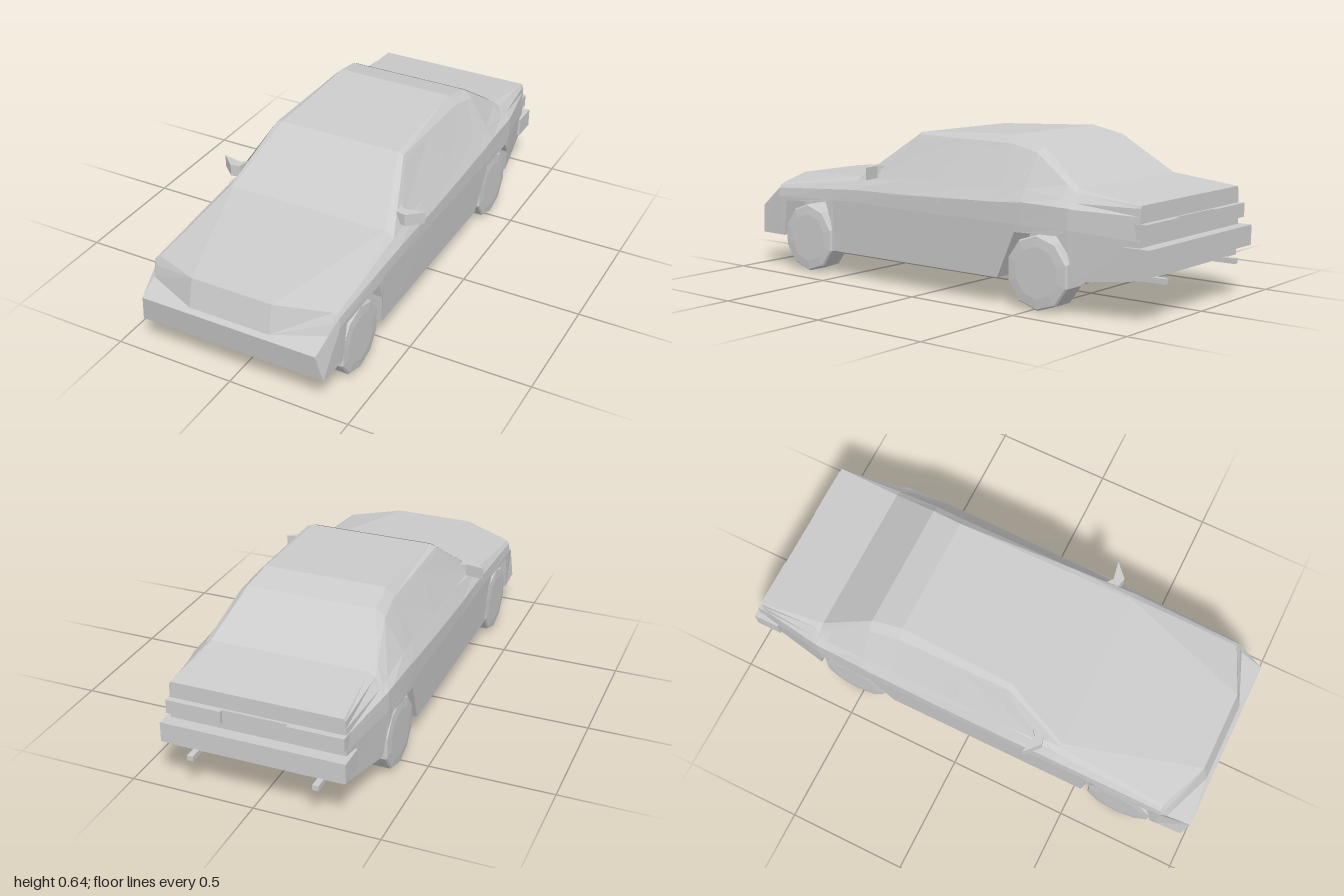
import * as THREE from 'three';

const grey = new THREE.MeshStandardMaterial({ color: 0xcccccc, flatShading: true });
const thin = new THREE.MeshStandardMaterial({ color: 0xcccccc, flatShading: true, side: THREE.DoubleSide });
const lerp = THREE.MathUtils.lerp;

// Upper half-section keys, front to rear: z, then x,y of flank, belt, window base, roof edge, roof top
const UPPER = [
  [0.87, 0.4, 0.31, 0.395, 0.345, 0.385, 0.358, 0.37, 0.365, 0.196, 0.392],
  [0.41, 0.405, 0.325, 0.403, 0.375, 0.378, 0.41, 0.352, 0.427, 0.34, 0.43],
  [0.15, 0.405, 0.32, 0.405, 0.38, 0.372, 0.44, 0.285, 0.612, 0.26, 0.62],
  [-0.33, 0.405, 0.32, 0.405, 0.395, 0.372, 0.45, 0.287, 0.605, 0.25, 0.64],
  [-0.46, 0.405, 0.32, 0.405, 0.405, 0.376, 0.45, 0.3, 0.58, 0.265, 0.61],
  [-0.67, 0.4, 0.32, 0.398, 0.4, 0.375, 0.42, 0.345, 0.45, 0.32, 0.465],
  [-0.95, 0.35, 0.3, 0.348, 0.36, 0.347, 0.39, 0.346, 0.42, 0.34, 0.43],
];
// Lower keys: z, floor y, sill or arch y, sill x
const LOWER = [
  [0.87, 0.14, 0.14, 0.395], [0.845, 0.14, 0.14, 0.395], [0.82, 0.105, 0.295, 0.4],
  [0.575, 0.105, 0.31, 0.404], [0.55, 0.105, 0.235, 0.402], [0.535, 0.105, 0.105, 0.393],
  [-0.34, 0.105, 0.105, 0.393], [-0.43, 0.105, 0.29, 0.404], [-0.625, 0.105, 0.295, 0.402],
  [-0.67, 0.105, 0.235, 0.396], [-0.69, 0.13, 0.13, 0.385], [-0.95, 0.16, 0.16, 0.34],
];

// Interpolate a key table at z
function at(table, z) {
  let i = 0;
  while (i < table.length - 2 && table[i + 1][0] > z) i++;
  const a = table[i], b = table[i + 1], t = (z - a[0]) / (b[0] - a[0]);
  return a.map((v, k) => lerp(v, b[k], t));
}

function halfSection(z) {
  const u = at(UPPER, z), [, floor, sill, x] = at(LOWER, z);
  const pts = [[0.29, floor, z], [0.29, sill, z], [x, sill, z]];
  for (let k = 1; k < u.length; k += 2) pts.push([u[k], u[k + 1], z]);
  return pts;
}

const flip = ([x, y, z]) => [-x, y, z];

// Turn convex polygons into one geometry
function polygons(faces) {
  const pos = [];
  for (const f of faces)
    for (let i = 1; i < f.length - 1; i++) pos.push(...f[0], ...f[i], ...f[i + 1]);
  const g = new THREE.BufferGeometry();
  g.setAttribute('position', new THREE.Float32BufferAttribute(pos, 3));
  g.computeVertexNormals();
  return g;
}

function bodyGeometry() {
  const zs = [...new Set([...UPPER, ...LOWER].map((k) => k[0]))].sort((a, b) => b - a);
  const nose = [[0.29, 0.14, 0.98], [0.29, 0.14, 0.98], [0.39, 0.14, 0.98], [0.37, 0.255, 1],
    [0.385, 0.285, 0.9], [0.383, 0.33, 0.885], [0.37, 0.365, 0.87], [0.17, 0.385, 0.955]];
  const halves = [nose, ...zs.map(halfSection)];
  const rings = halves.map((h) => [...h, ...h.map(flip).reverse()]);
  const faces = [];
  for (let i = 0; i < rings.length - 1; i++) {
    const a = rings[i], b = rings[i + 1];
    a.forEach((p, j) => {
      const k = (j + 1) % a.length;
      faces.push([p, b[j], b[k], a[k]]);
    });
  }
  // Tail panel
  const tail = halves[halves.length - 1];
  for (let j = 0; j < tail.length - 1; j++)
    faces.push([tail[j + 1], tail[j], flip(tail[j]), flip(tail[j + 1])]);
  // Bumper front, ledge, grille and swept headlight faces
  const [, , low, lip, c1, c2, c3, hood] = nose, g = [0.17, 0.27, 0.983];
  faces.push([flip(low), low, lip, flip(lip)], [flip(lip), lip, g, flip(g)], [flip(g), g, hood, flip(hood)]);
  for (const f of [[lip, c1, g], [g, c1, c2, c3, hood]])
    faces.push(f, f.map(flip).reverse());
  return polygons(faces);
}

export function createModel() {
  const car = new THREE.Group();
  car.name = 'sedan';
  const add = (name, geometry, material = grey) => {
    const m = new THREE.Mesh(geometry, material);
    m.name = name;
    car.add(m);
    return m;
  };
  const box = (name, x0, x1, y0, y1, z0, z1) =>
    add(name, new THREE.BoxGeometry(x1 - x0, y1 - y0, z1 - z0)
      .translate((x0 + x1) / 2, (y0 + y1) / 2, (z0 + z1) / 2));

  const body = add('body', bodyGeometry());
  body.updateMatrixWorld();

  // Point on the body side at a given z, y, lifted slightly outwards
  const ray = new THREE.Raycaster();
  const onSide = (z, y, s, lift) => {
    ray.set(new THREE.Vector3(1, y, z), new THREE.Vector3(-1, 0, 0));
    const hit = ray.intersectObject(body)[0];
    return [s * ((hit ? hit.point.x : 0.39) + lift), y, z];
  };

  // Thin strip following the body side
  const seam = (name, path, s, w = 0.004) => {
    const faces = [];
    for (let i = 0; i < path.length - 1; i++) {
      const [z0, y0] = path[i], [z1, y1] = path[i + 1];
      const len = Math.hypot(z1 - z0, y1 - y0);
      const nz = (-(y1 - y0) / len) * w / 2, ny = ((z1 - z0) / len) * w / 2;
      const edge = (t, d) => onSide(lerp(z0, z1, t) + nz * d, lerp(y0, y1, t) + ny * d, s, 0.002);
      for (let k = 0; k < 6; k++)
        faces.push([edge(k / 6, -1), edge((k + 1) / 6, -1), edge((k + 1) / 6, 1), edge(k / 6, 1)]);
    }
    add(name, polygons(faces), thin);
  };

  // Front and rear glass
  const glass = (name, x0, y0, z0, x1, y1, z1) =>
    add(name, polygons([[[-x0, y0, z0], [x0, y0, z0], [x1, y1, z1], [-x1, y1, z1]]]), thin);
  glass('windshield', 0.33, 0.44, 0.404, 0.257, 0.617, 0.161);
  glass('rearWindow', 0.306, 0.478, -0.657, 0.262, 0.604, -0.474);

  const frontDoor = [[0.36, 0.435], [0.42, 0.37], [0.405, 0.18], [-0.07, 0.18], [-0.05, 0.4], [-0.08, 0.6]];
  const rearDoor = [[-0.07, 0.18], [-0.33, 0.18], [-0.43, 0.305], [-0.465, 0.405], [-0.34, 0.59]];
  const beltLine = [[0.41, 0.37], [-0.05, 0.387], [-0.46, 0.404]];
  const frontPane = [[0.33, 0.436], [0.155, 0.59], [-0.06, 0.6], [-0.025, 0.443]];
  const rearPane = [[-0.095, 0.445], [-0.095, 0.598], [-0.32, 0.572], [-0.32, 0.45]];
  const mirrorOutline = [[0.345, 0.285], [0.37, 0.305], [0.45, 0.29], [0.39, 0.345], [0.35, 0.335]];

  for (const s of [1, -1]) {
    const side = s > 0 ? 'left' : 'right';
    seam(side + 'FrontDoorSeam', frontDoor, s);
    seam(side + 'RearDoorSeam', rearDoor, s);
    seam(side + 'BeltLine', beltLine, s);
    for (const [name, pane] of [['FrontWindow', frontPane], ['RearWindow', rearPane]])
      add(side + name, polygons([pane.map(([z, y]) => onSide(z, y, s, 0.003))]), thin);

    // Door mirror, drawn in plan and extruded upwards
    const plan = new THREE.Shape(mirrorOutline.map(([x, z]) => new THREE.Vector2(s * x, -z)));
    add(side + 'Mirror', new THREE.ExtrudeGeometry(plan, { depth: 0.05, bevelEnabled: false })
      .rotateX(-Math.PI / 2).translate(0, 0.43, 0));

    // Ten-sided wheels with a shallow hub face
    const profile = [[0, -0.048], [0.144, -0.048], [0.144, 0.04], [0.138, 0.047], [0.1, 0.051], [0, 0.051]]
      .map(([r, h]) => new THREE.Vector2(r, h));
    for (const [name, z] of [['FrontWheel', 0.7], ['RearWheel', -0.525]])
      add(side + name, new THREE.LatheGeometry(profile, 10, Math.PI / 2)
        .rotateZ(-s * Math.PI / 2).translate(s * 0.343, 0.144, z));

    // Tail lamp and exhaust pipe
    const [l0, l1] = s > 0 ? [0.13, 0.352] : [-0.352, -0.13];
    box(side + 'TailLamp', l0, l1, 0.31, 0.365, -0.975, -0.89);
    box(side + 'ExhaustPipe', s * 0.25 - 0.012, s * 0.25 + 0.012, 0.142, 0.163, -1, -0.87);
  }
  box('numberPlatePanel', -0.13, 0.13, 0.31, 0.365, -0.96, -0.93);
  box('rearBumper', -0.367, 0.367, 0.2, 0.28, -1, -0.89);
  return car;
}
